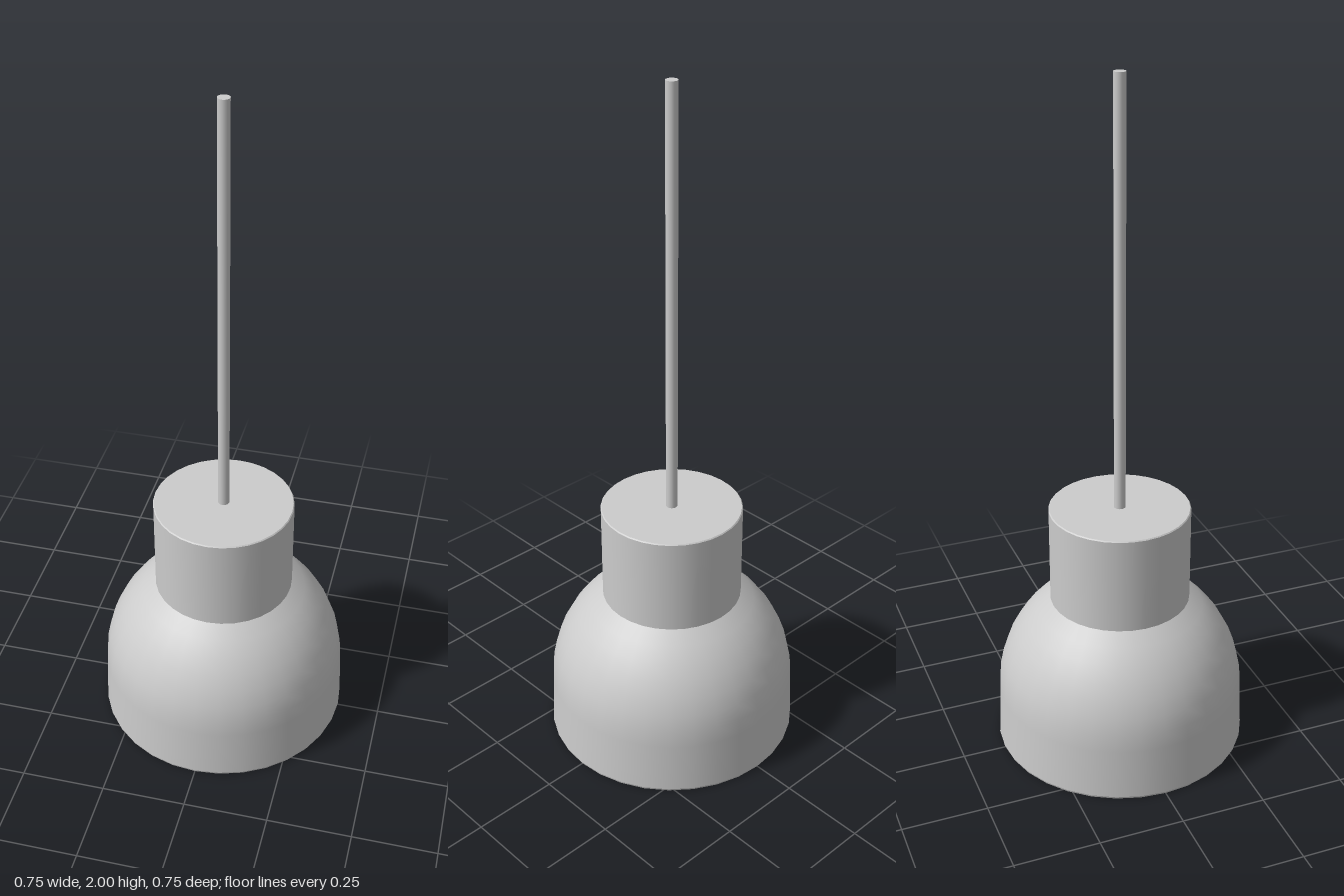
import * as THREE from 'three';

const SEGMENTS = 32;
const material = new THREE.MeshStandardMaterial({ color: 0xcccccc });

// Revolves each profile piece on its own, so the joints between pieces stay sharp.
function revolve(name, pieces, segments = SEGMENTS) {
  const group = new THREE.Group();
  group.name = name;
  pieces.forEach((points, i) => {
    const profile = points.map(([r, y]) => new THREE.Vector2(r, y));
    const mesh = new THREE.Mesh(new THREE.LatheGeometry(profile, segments), material);
    mesh.name = `${name}Surface${i + 1}`;
    group.add(mesh);
  });
  return group;
}

// Rounded arc from its widest point (angle 0) towards the axis, as [radius, height] pairs.
function arc(radius, centreY, from, to, steps) {
  return Array.from({ length: steps + 1 }, (_, i) => {
    const a = from + ((to - from) * i) / steps;
    return [Math.max(0, radius * Math.cos(a)), centreY + radius * Math.sin(a)];
  });
}

export function createModel() {
  const model = new THREE.Group();
  model.name = 'pendantLamp';

  // Shade: hollow dome with a straight collar on top
  const neck = 0.207, top = 0.755, centreY = 0.16, wall = 0.015;
  const outerR = 0.367, innerR = outerR - wall, innerNeck = neck - wall;
  const outerDome = [[0.373, 0.006], ...arc(outerR, centreY, 0, Math.acos(neck / outerR), 7)];
  const innerDome = [[0.357, 0], ...arc(innerR, centreY, 0, Math.acos(innerNeck / innerR), 7)].reverse();
  const outerShoulder = outerDome[outerDome.length - 1];
  const innerShoulder = innerDome[0];
  model.add(revolve('shade', [
    [[0, top - wall], [innerNeck, top - wall]],
    [[innerNeck, top - wall], innerShoulder],
    innerDome,
    [[0.357, 0], [0.371, 0]],
    [[0.371, 0], [0.373, 0.006]],
    outerDome,
    [outerShoulder, [neck, top - 0.003]],
    [[neck, top - 0.003], [neck - 0.003, top]],
    [[neck - 0.003, top], [0, top]],
  ]));

  // Bulb: round globe narrowing into its neck
  const globe = arc(0.1, 0.295, -Math.PI / 2, Math.PI / 4, 14);
  model.add(revolve('bulb', [[...globe, [0.055, 0.4], [0.045, 0.45], [0.045, 0.52]]]));

  // Socket holding the bulb inside the collar
  model.add(revolve('socket', [
    [[0, 0.5], [0.06, 0.5]],
    [[0.06, 0.5], [0.06, top - wall]],
  ]));

  // Suspension rod
  const rodLength = 2 - top;
  const rod = new THREE.Mesh(new THREE.CylinderGeometry(0.017, 0.017, rodLength, 16), material);
  rod.name = 'suspensionRod';
  rod.position.y = top + rodLength / 2;
  model.add(rod);

  return model;
}
